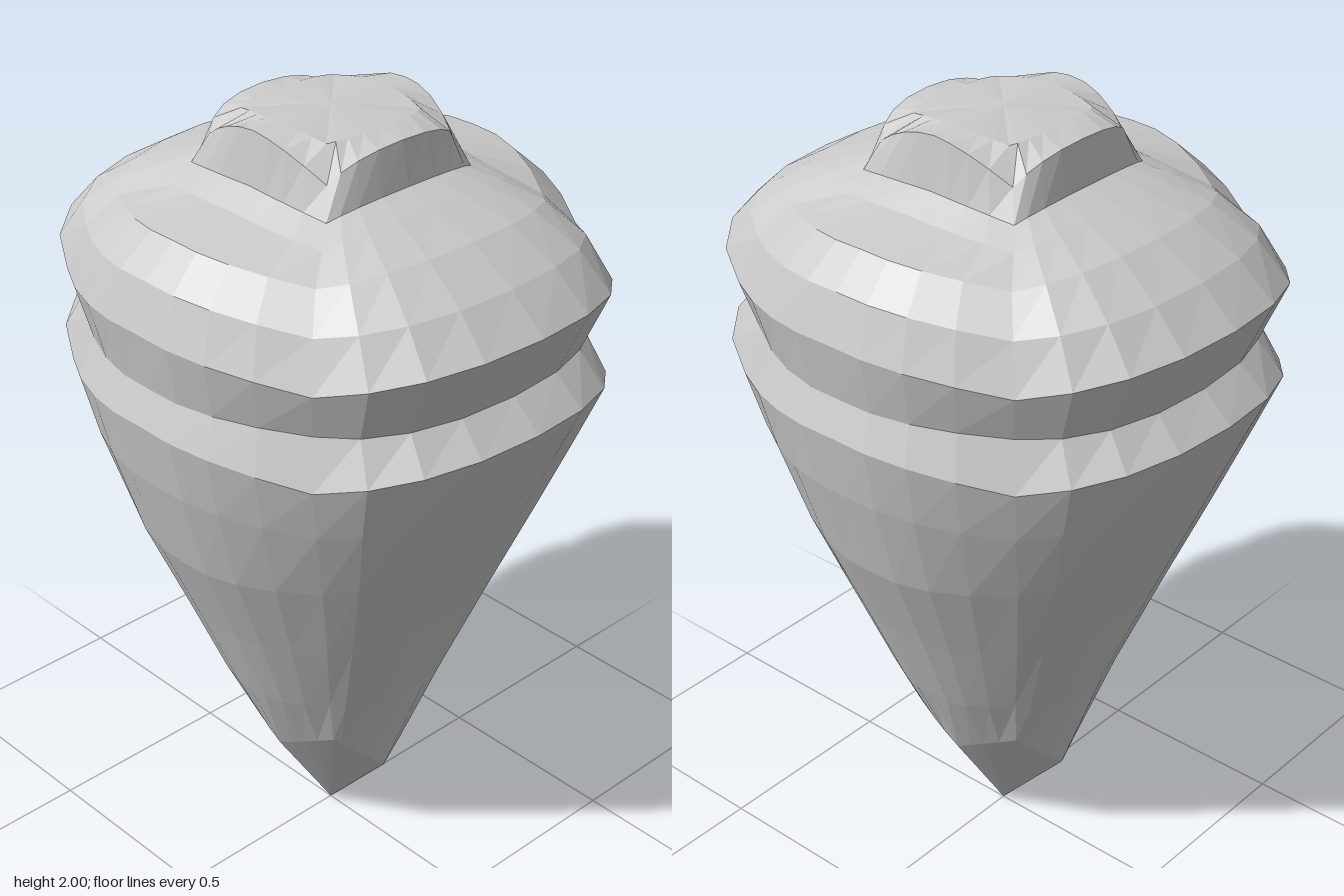
import * as THREE from 'three';

const material = new THREE.MeshStandardMaterial({ color: 0xcccccc, flatShading: true, roughness: 0.8 });
const STEPS = 4; // segments per eighth of a ring

// A ring is given by its three key points; the rest is mirrored:
// front [z, y], corner [x, z, y], side [x, y]. "straight" keeps its edge heights linear.
const ring = (front, corner, side, straight = false) => ({ front, corner, side, straight });

const bezier = (a, b, c, t) => a.clone().multiplyScalar((1 - t) ** 2)
  .addScaledVector(b, 2 * t * (1 - t)).addScaledVector(c, t * t);

function ringPoints({ front: [fz, fy], corner: [cx, cz, cy], side: [sx, sy], straight }) {
  const f = new THREE.Vector3(0, fy, fz);
  const c = new THREE.Vector3(cx, cy, cz);
  const s = new THREE.Vector3(sx, sy, 0);
  const frontPull = new THREE.Vector3(cx * 0.8, straight ? fy + (cy - fy) * 0.8 : fy, fz);
  const sidePull = new THREE.Vector3(sx * 1.03, straight ? sy + (cy - sy) * 0.5 : sy, cz * 0.45);
  const quarter = [];
  for (let i = 0; i < STEPS; i++) quarter.push(bezier(f, frontPull, c, i / STEPS));
  for (let i = 0; i <= STEPS; i++) quarter.push(bezier(c, sidePull, s, i / STEPS));
  // Mirror the quarter front to back, then left to right
  const back = quarter.slice(0, -1).reverse().map((p) => new THREE.Vector3(p.x, p.y, -p.z));
  const half = [...quarter, ...back];
  const other = half.slice(1, -1).reverse().map((p) => new THREE.Vector3(-p.x, p.y, p.z));
  return [...half, ...other];
}

// Skin through rings, listed from bottom to top
function loft(name, rings) {
  const rows = rings.map(ringPoints);
  const n = rows[0].length;
  const index = [];
  for (let r = 0; r < rows.length - 1; r++) {
    for (let j = 0; j < n; j++) {
      const a = r * n + j;
      const b = r * n + (j + 1) % n;
      index.push(a, b, b + n, a, b + n, a + n);
    }
  }
  const geometry = new THREE.BufferGeometry().setFromPoints(rows.flat());
  geometry.setIndex(index);
  const flat = geometry.toNonIndexed();
  flat.computeVertexNormals();
  const mesh = new THREE.Mesh(flat, material);
  mesh.name = name;
  return mesh;
}

const point = (y) => ring([0, y], [0, 0, y], [0, y]);

export function createModel() {
  const group = new THREE.Group();
  group.name = 'spinningTop';

  // Rings shared between neighbouring parts
  const tipTop = ring([0.2, 0.225], [0.16, 0.18, 0.38], [0.18, 0.28], true);
  const lowerRim = ring([0.665, 1.415], [0.45, 0.42, 1.345], [0.585, 1.39]);
  const groove = ring([0.59, 1.485], [0.42, 0.39, 1.465], [0.555, 1.475]);
  const upperRim = ring([0.665, 1.655], [0.45, 0.42, 1.585], [0.585, 1.625]);
  const neckBase = ring([0.25, 1.875], [0.225, 0.225, 1.85], [0.245, 1.87]);
  const neckTop = ring([0.23, 1.98], [0.195, 0.195, 1.92], [0.232, 1.998]);

  // Four-sided point and tapering body
  group.add(loft('tip', [point(0), tipTop]));
  group.add(loft('body', [
    tipTop,
    ring([0.275, 0.5], [0.21, 0.22, 0.54], [0.275, 0.5]),
    ring([0.39, 0.78], [0.28, 0.285, 0.76], [0.375, 0.74]),
    ring([0.51, 1.06], [0.355, 0.35, 1.0], [0.48, 0.98]),
    ring([0.595, 1.26], [0.415, 0.395, 1.2], [0.55, 1.22]),
    lowerRim,
  ]));

  // Pinched groove between the two sharp rims
  group.add(loft('lowerRimSlope', [lowerRim, groove]));
  group.add(loft('upperRimSlope', [groove, upperRim]));

  // Rounded shoulder up to the neck
  group.add(loft('shoulder', [
    upperRim,
    ring([0.57, 1.74], [0.415, 0.385, 1.7], [0.55, 1.74]),
    ring([0.45, 1.81], [0.355, 0.33, 1.775], [0.47, 1.812]),
    ring([0.33, 1.85], [0.285, 0.275, 1.82], [0.31, 1.832]),
    neckBase,
  ]));

  // Square neck and its cap with bent-down corners
  group.add(loft('neck', [neckBase, neckTop]));
  group.add(loft('cap', [
    neckTop,
    ring([0.16, 1.99], [0.145, 0.14, 1.985], [0.16, 2]),
    point(2),
  ]));
  return group;
}
